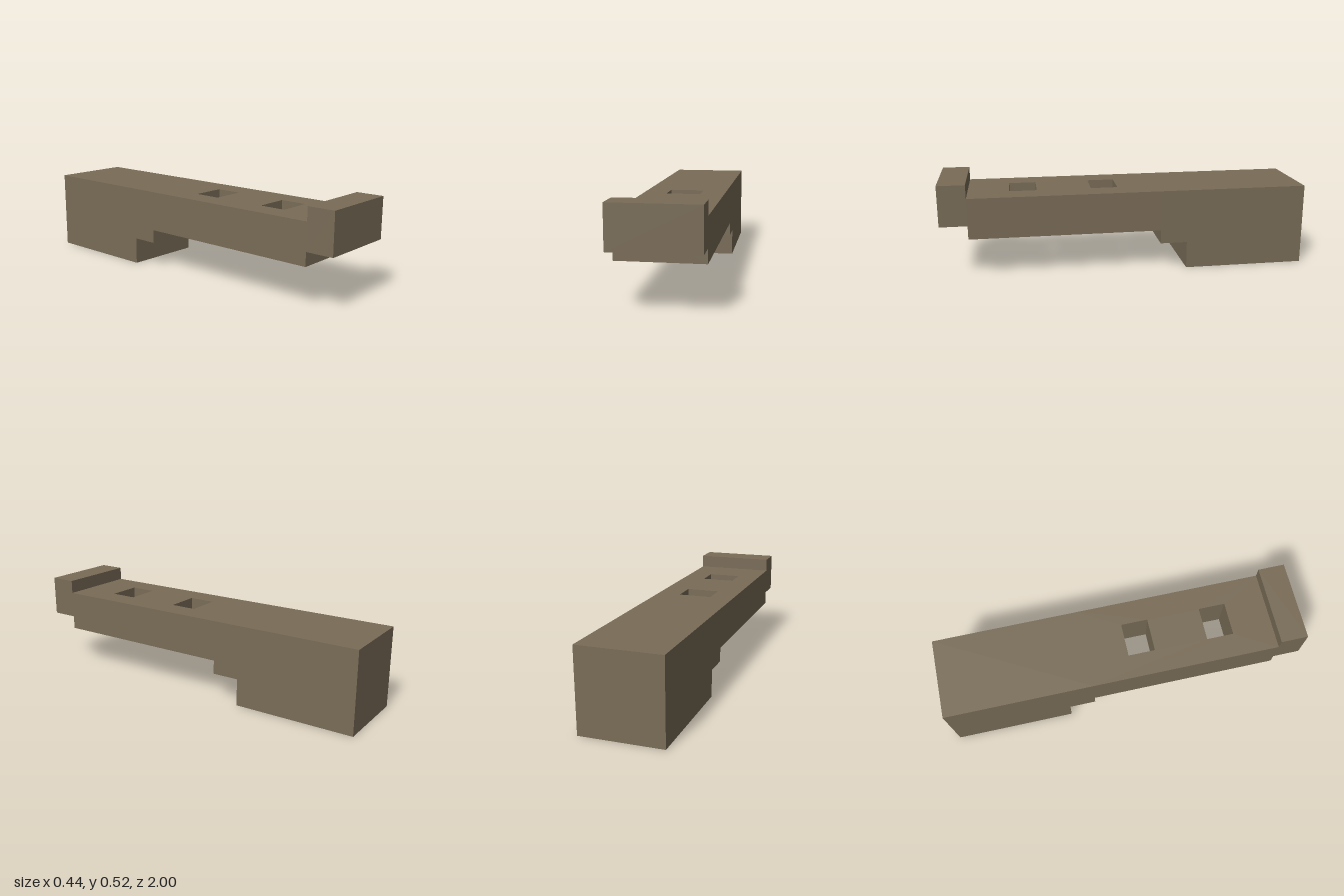
import * as THREE from 'three';

const WIDTH = 0.444;
const TOP = 0.446;
const BOTTOM = 0.224;

// Rectangle outline from two opposite corners
const rect = (x0, y0, x1, y1) => [[x0, y0], [x1, y0], [x1, y1], [x0, y1]].map(p => new THREE.Vector2(...p));

// Side profile given as [z, y] points, extruded across the full width
function acrossWidth(points) {
  const shape = new THREE.Shape(points.map(([z, y]) => new THREE.Vector2(z, y)));
  return new THREE.ExtrudeGeometry(shape, { depth: WIDTH, bevelEnabled: false })
    .rotateY(-Math.PI / 2)
    .translate(WIDTH / 2, 0, 0);
}

export function createModel() {
  const group = new THREE.Group();
  const brown = new THREE.MeshStandardMaterial({ color: 0x7a6d58 });
  brown.name = 'earthBrown';

  const add = (name, geometry) => {
    const mesh = new THREE.Mesh(geometry, brown);
    mesh.name = name;
    group.add(mesh);
  };

  // Deep rear block with its stepped underside
  add('rearBlock', acrossWidth([
    [-1, 0], [-0.333, 0], [-0.333, 0.149], [-0.185, 0.149], [-0.185, TOP], [-1, TOP],
  ]));

  // Flat beam with two square through-holes
  const plan = new THREE.Shape(rect(-WIDTH / 2, -0.185, WIDTH / 2, 0.852));
  for (const z of [0.037, 0.481]) {
    plan.holes.push(new THREE.Path(rect(-0.0925, z, 0.0925, z + 0.148)));
  }
  add('beam', new THREE.ExtrudeGeometry(plan, { depth: TOP - BOTTOM, bevelEnabled: false })
    .rotateX(Math.PI / 2)
    .translate(0, TOP, 0));

  // Raised lip at the front end
  add('frontLip', acrossWidth([[0.852, 0.298], [1, 0.298], [1, 0.52], [0.852, 0.52]]));

  return group;
}
